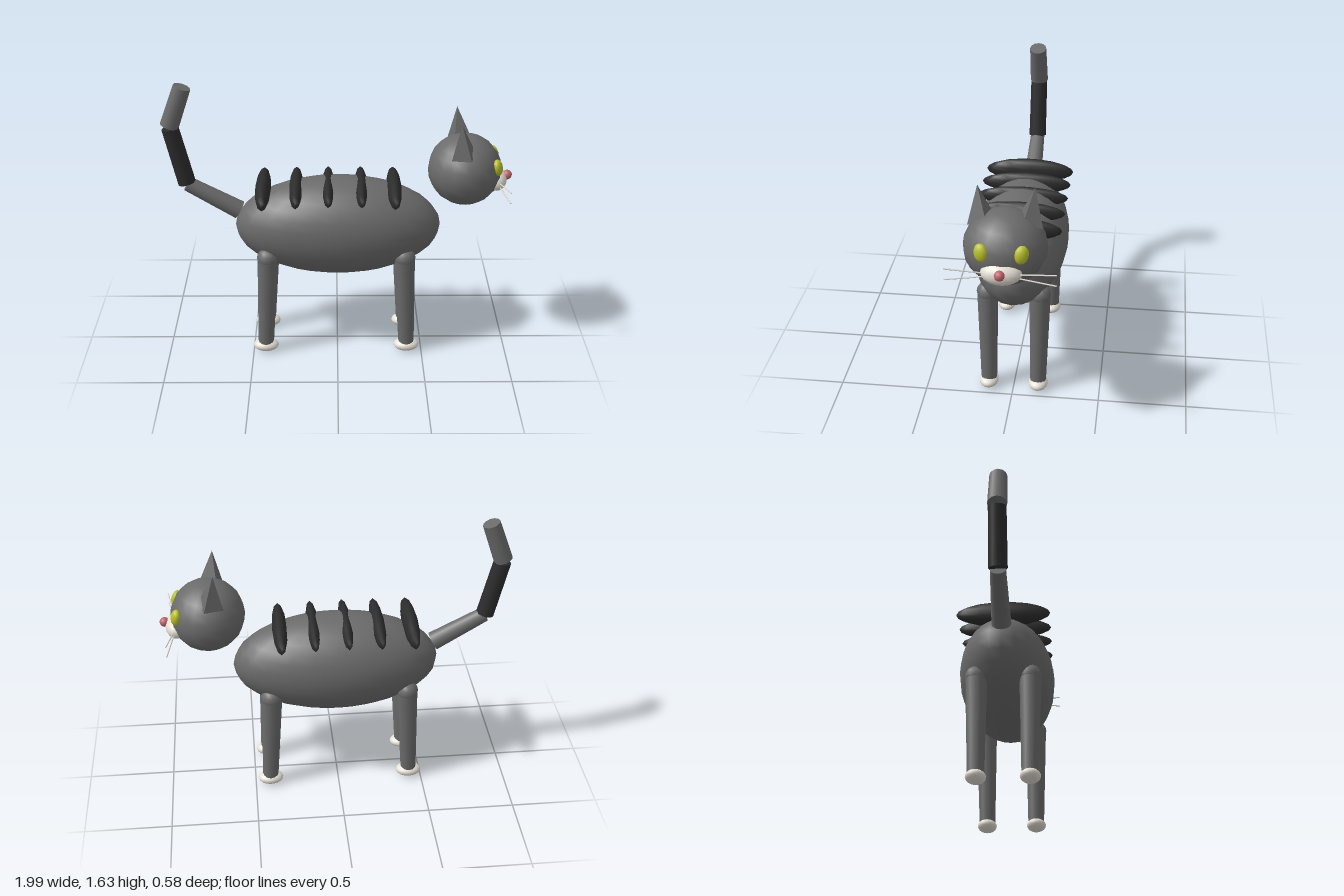
import * as THREE from 'three';

const mat = (name, color) => {
  const m = new THREE.MeshStandardMaterial({ color });
  m.name = name;
  return m;
};

export function createModel() {
  const cat = new THREE.Group();
  cat.name = 'cat';
  const fur = mat('greyFur', 0x6b6b6b);
  const dark = mat('darkFur', 0x2c2c2c);
  const white = mat('whiteFur', 0xe4dfd5);
  const yellow = mat('yellowEye', 0xb8c02c);
  const pink = mat('pinkNose', 0xc0656d);

  const add = (name, geometry, material) => {
    const mesh = new THREE.Mesh(geometry, material);
    mesh.name = name;
    cat.add(mesh);
    return mesh;
  };
  const ellipsoid = (name, material, pos, radii, w = 16, h = 12) => {
    const mesh = add(name, new THREE.SphereGeometry(1, w, h), material);
    mesh.position.set(...pos);
    mesh.scale.set(...radii);
    return mesh;
  };
  // Tapered cylinder from point a to point b
  const rod = (name, material, a, b, ra, rb, sides = 12) => {
    const p = new THREE.Vector3(...a), q = new THREE.Vector3(...b);
    const dir = q.clone().sub(p);
    const mesh = add(name, new THREE.CylinderGeometry(rb, ra, dir.length(), sides), material);
    mesh.position.copy(p).add(q).multiplyScalar(0.5);
    mesh.quaternion.setFromUnitVectors(new THREE.Vector3(0, 1, 0), dir.normalize());
    return mesh;
  };

  // Body and head
  ellipsoid('body', fur, [0.003, 0.77, 0], [0.595, 0.292, 0.273], 24, 16);
  ellipsoid('head', fur, [0.727, 1.118, 0], [0.21, 0.204, 0.223], 16, 12);
  ellipsoid('muzzle', white, [0.905, 1.057, 0], [0.065, 0.063, 0.108]);
  ellipsoid('nose', pink, [0.972, 1.08, 0], [0.028, 0.028, 0.028], 12, 8);

  // Back stripes: x, half width, half height
  [[-0.428, 0.045, 0.073], [-0.238, 0.04, 0.065], [-0.053, 0.036, 0.06],
    [0.136, 0.037, 0.061], [0.326, 0.043, 0.068]].forEach(([x, rx, ry]) =>
    ellipsoid('backStripe', dark, [x, 1.066 - ry, 0], [rx, ry, 0.262], 12, 10));

  // Tail in three straight pieces
  rod('tailBase', fur, [-0.567, 0.86, 0], [-0.86, 1.028, 0], 0.054, 0.043);
  rod('tailMiddle', dark, [-0.863, 1.035, 0], [-0.941, 1.37, 0], 0.052, 0.05);
  rod('tailTip', fur, [-0.944, 1.382, 0], [-0.861, 1.613, 0], 0.054, 0.05);

  for (const s of [1, -1]) {
    // Legs, shoulder joints and paws
    for (const [name, top, foot] of [['front', 0.388, 0.41], ['back', -0.403, -0.427]]) {
      rod(name + 'Leg', fur, [foot, 0.05, s * 0.143], [top, 0.61, s * 0.148], 0.046, 0.06);
      ellipsoid(name + 'LegJoint', fur, [top, 0.622, s * 0.148], [0.063, 0.063, 0.063], 12, 8);
      ellipsoid(name + 'Paw', white, [foot, 0.036, s * 0.144], [0.075, 0.036, 0.056]);
    }

    // Four-sided ears leaning slightly outward
    const ear = add('ear', new THREE.ConeGeometry(0.08, 0.2, 4, 1, false, Math.PI / 4).toNonIndexed(), fur);
    ear.geometry.computeVertexNormals();
    ear.geometry.rotateY(-s * 0.3);
    ear.position.set(0.695, 1.342, s * 0.137);
    ear.rotation.set(s * 0.12, 0, 0.1);

    // Eyes
    const eye = ellipsoid('eye', yellow, [0.901, 1.167, s * 0.104], [0.028, 0.05, 0.038], 12, 10);
    eye.rotation.set(s * 0.2, -s * 0.3, 0.2);

    // Whiskers
    rod('upperWhisker', white, [0.92, 1.06, s * 0.08], [0.957, 1.094, s * 0.288], 0.004, 0.004, 6);
    rod('lowerWhisker', white, [0.92, 1.042, s * 0.08], [0.957, 1.031, s * 0.288], 0.004, 0.004, 6);
  }
  return cat;
}
